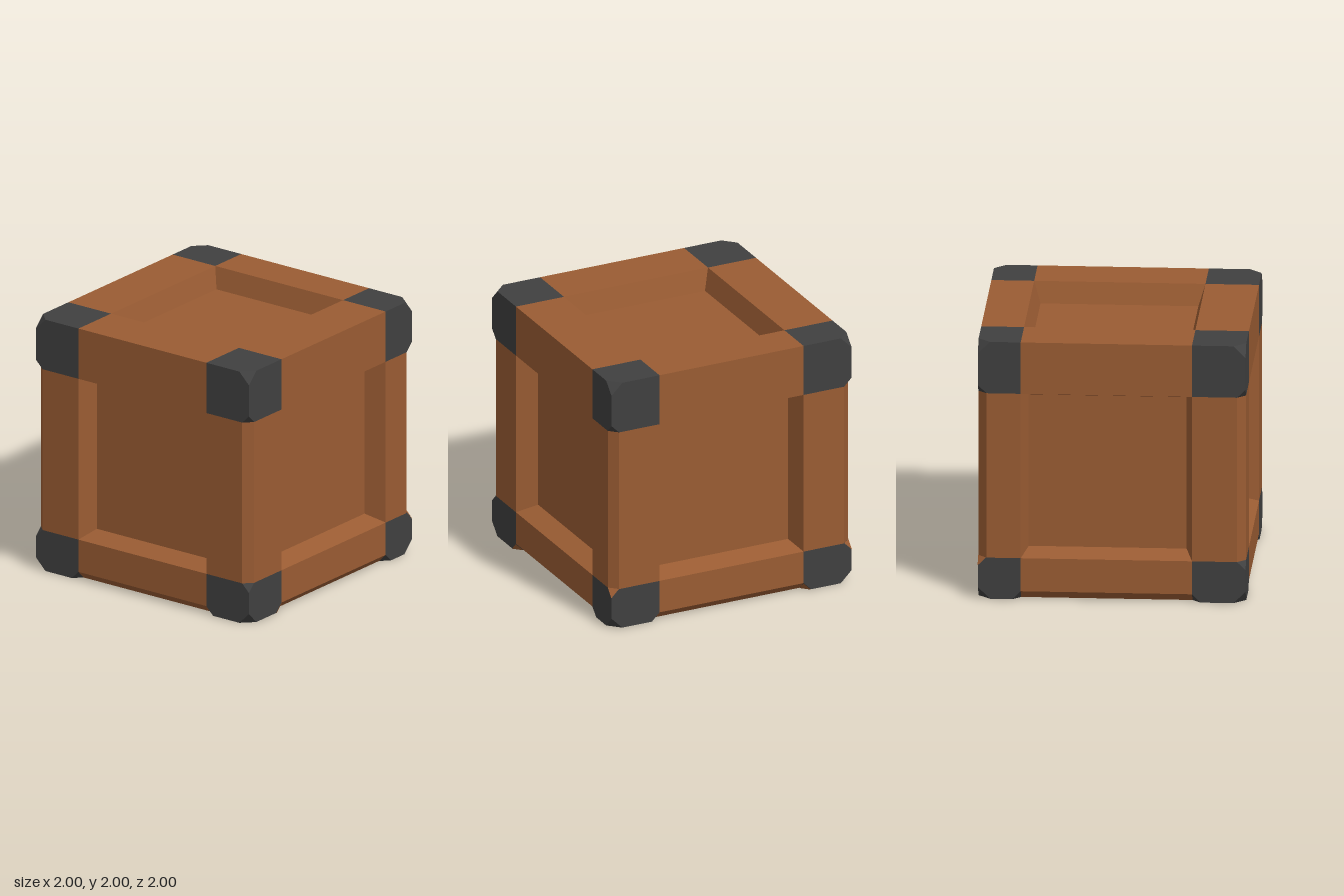
import * as THREE from 'three';
import { ConvexGeometry } from 'three/addons/geometries/ConvexGeometry.js';

const CHAMFER = 0.063; // bevel along the wooden edges
const TIP = 0.09;      // cut at the tip of each metal corner
const FLOOR = 0.84;    // distance of the recessed panels from the centre
const SLOPE = 0.05;    // inward lean of the recess walls

const SIGNS = [-1, 1];
const AXES = [0, 1, 2];

// Distance from the centre at which a metal corner ends along an axis
const cut = (axis, sign) => (axis === 0 || sign > 0 ? 0.6 : 0.68);

// Upright and bottom edges are bevelled, top edges stay sharp
const bevelled = (axis, s) => axis === 1 || s[1] < 0;

const vec = (p, s) => new THREE.Vector3(p[0] * s[0], p[1] * s[1], p[2] * s[2]);

// Three points where a metal corner tapers down to the bevelled beam along an axis
function taper(axis, s) {
  const b = (axis + 1) % 3, c = (axis + 2) % 3;
  const end = cut(axis, s[axis]);
  const point = (av, bv, cv) => {
    const p = [];
    p[axis] = av; p[b] = bv; p[c] = cv;
    return p;
  };
  return [
    point(end + CHAMFER, 1, 1),
    point(end, 1 - CHAMFER, 1),
    point(end, 1, 1 - CHAMFER),
  ];
}

// Block with a cut tip and tapered ends
function cornerGeometry(s) {
  const points = [];
  for (let mask = 0; mask < 7; mask++) {
    const p = AXES.map(a => (mask & (1 << a) ? 1 : cut(a, s[a])));
    const inner = AXES.filter(a => !(mask & (1 << a)));
    if (inner.length === 1 && bevelled(inner[0], s)) points.push(...taper(inner[0], s));
    else points.push(p);
  }
  for (const a of AXES) points.push(AXES.map(i => (i === a ? 1 - TIP : 1)));
  return new ConvexGeometry(points.map(p => vec(p, s)));
}

// Beam along one edge, its inner sides leaning in to the panels
function beamGeometry(axis, s) {
  const b = (axis + 1) % 3, c = (axis + 2) % 3;
  const cb = cut(b, s[b]), cc = cut(c, s[c]);
  const k = bevelled(axis, s) ? CHAMFER : 0;
  const profile = [
    [1 - k, 1], [cb, 1], [cb - SLOPE, FLOOR], [cb - SLOPE, cc - SLOPE],
    [FLOOR, cc - SLOPE], [1, cc],
  ];
  if (k) profile.push([1, 1 - k]);
  const points = [];
  for (const end of SIGNS) {
    for (const [u, v] of profile) {
      const p = [];
      p[axis] = end * cut(axis, end);
      p[b] = u * s[b];
      p[c] = v * s[c];
      points.push(new THREE.Vector3(...p));
    }
  }
  return new ConvexGeometry(points);
}

// Small wooden facet lying on the taper of a metal corner
function facetGeometry(axis, s) {
  const lift = 0.002;
  const points = taper(axis, s).map(p =>
    vec(p.map((v, i) => v + (i === axis ? -lift : lift)), s));
  const geometry = new THREE.BufferGeometry().setFromPoints(points);
  geometry.computeVertexNormals();
  return geometry;
}

export function createModel() {
  const group = new THREE.Group();
  group.name = 'crate';

  const wood = new THREE.MeshStandardMaterial({ color: 0x9a5c33, flatShading: true });
  const woodThin = wood.clone();
  woodThin.side = THREE.DoubleSide;
  const metal = new THREE.MeshStandardMaterial({ color: 0x404040, flatShading: true });

  const add = (name, geometry, material) => {
    const mesh = new THREE.Mesh(geometry, material);
    mesh.name = name;
    mesh.position.y = 1;
    group.add(mesh);
  };

  // Recessed panels on all six sides
  add('panels', new THREE.BoxGeometry(2 * FLOOR, 2 * FLOOR, 2 * FLOOR), wood);

  // Twelve frame beams
  for (const axis of AXES) {
    for (const u of SIGNS) {
      for (const v of SIGNS) {
        const s = [1, 1, 1];
        s[(axis + 1) % 3] = u;
        s[(axis + 2) % 3] = v;
        add(axis === 1 ? 'uprightBeam' : 'horizontalBeam', beamGeometry(axis, s), wood);
      }
    }
  }

  // Eight metal corners
  for (const x of SIGNS)
    for (const y of SIGNS)
      for (const z of SIGNS) add('metalCorner', cornerGeometry([x, y, z]), metal);

  // Tapers that are wood instead of metal
  const facets = [
    [1, [1, -1, -1]], [1, [-1, -1, -1]], [2, [1, -1, 1]], [0, [-1, -1, -1]],
  ];
  for (const [axis, s] of facets) add('woodFacet', facetGeometry(axis, s), woodThin);

  return group;
}
